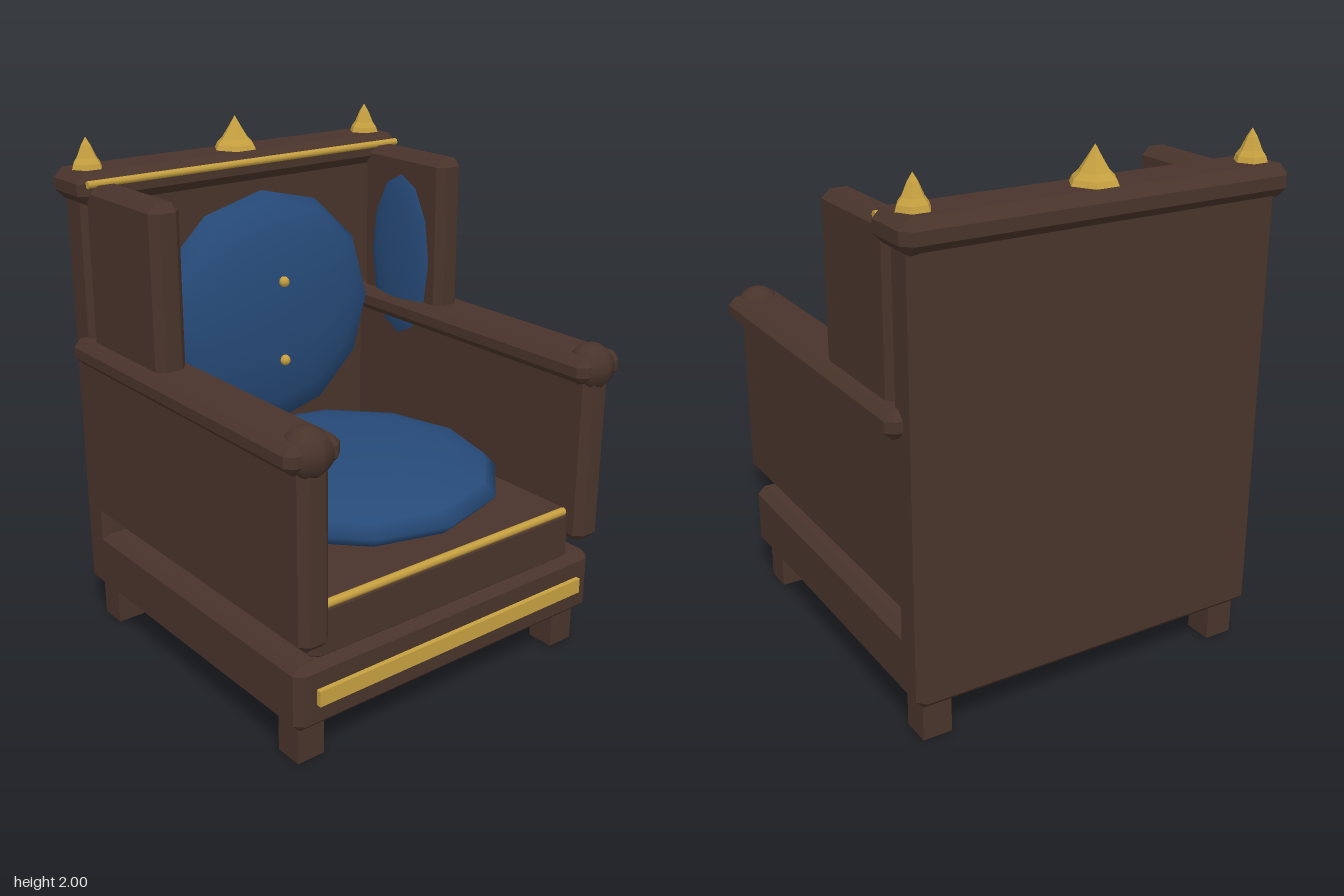
import * as THREE from 'three';
import { ConvexGeometry } from 'three/addons/geometries/ConvexGeometry.js';

export function createModel() {
  const model = new THREE.Group();
  model.name = 'armchair';

  const material = (name, color, flatShading = false) => {
    const m = new THREE.MeshStandardMaterial({ color, flatShading });
    m.name = name;
    return m;
  };
  const wood = material('dark wood', 0x49342b);
  const blue = material('blue fabric', 0x264a78);
  const gold = material('gold', 0xc6a040);

  const add = (name, geometry, mat, x = 0, y = 0, z = 0) => {
    const mesh = new THREE.Mesh(geometry, mat);
    mesh.name = name;
    mesh.position.set(x, y, z);
    model.add(mesh);
    return mesh;
  };

  // Box with every edge cut at 45 degrees, given by its min and max on each axis
  const chamferBox = (name, [x0, x1], [y0, y1], [z0, z1], c = 0.03) => {
    const half = [(x1 - x0) / 2, (y1 - y0) / 2, (z1 - z0) / 2];
    const points = [];
    for (let face = 0; face < 3; face++)
      for (const sx of [-1, 1]) for (const sy of [-1, 1]) for (const sz of [-1, 1]) {
        const p = half.map((h, axis) => (axis === face ? h : h - c));
        points.push(new THREE.Vector3(sx * p[0], sy * p[1], sz * p[2]));
      }
    return add(name, new ConvexGeometry(points), wood, (x0 + x1) / 2, (y0 + y1) / 2, (z0 + z1) / 2);
  };

  // Squashed cushion
  const cushion = (name, [rx, ry, rz], x, y, z, turn = null) => {
    const g = new THREE.SphereGeometry(1, 12, 8);
    if (turn === 'z') g.rotateX(Math.PI / 2);
    if (turn === 'x') g.rotateZ(Math.PI / 2);
    g.scale(rx, ry, rz);
    return add(name, g, blue, x, y, z);
  };

  // Thin rod running from side to side
  const rod = (name, r, length, y, z) =>
    add(name, new THREE.CylinderGeometry(r, r, length, 8).rotateZ(Math.PI / 2), gold, 0, y, z);

  // Six-sided pointed finial: a round bulb drawn up into a spike
  const finial = (name, r, height, x) => {
    const profile = [[0, -0.04], [0.65, -0.03], [1, 0], [0.85, 0.03], [0.62, 0.05], [0.3, 0.095], [0, height]]
      .map(([px, py]) => new THREE.Vector2(px * r, py));
    const g = new THREE.LatheGeometry(profile, 6, Math.PI / 2).toNonIndexed();
    g.computeVertexNormals();
    return add(name, g, gold, x, 1.86, -0.655);
  };

  // Body
  chamferBox('base', [-0.72, 0.72], [0.15, 0.405], [-0.745, 0.7]);
  chamferBox('seat', [-0.63, 0.63], [0.38, 0.605], [-0.62, 0.67]);
  chamferBox('back', [-0.72, 0.72], [0.3, 1.8], [-0.745, -0.59]);
  chamferBox('crest', [-0.755, 0.755], [1.755, 1.87], [-0.775, -0.53], 0.035);

  // Cushions and buttons
  cushion('seatCushion', [0.58, 0.125, 0.6], 0, 0.715, 0.065);
  cushion('backCushion', [0.53, 0.5, 0.15], 0, 1.23, -0.485, 'z');
  for (const y of [1.39, 1.065])
    add('button', new THREE.SphereGeometry(0.022, 8, 6), gold, 0, y, -0.338);

  // Gold trim
  add('basePlate', new THREE.BoxGeometry(1.28, 0.06, 0.03), gold, 0, 0.28, 0.705);
  rod('seatTrim', 0.016, 1.16, 0.6, 0.665);
  rod('crestTrim', 0.014, 1.46, 1.835, -0.53);
  finial('centreFinial', 0.095, 0.14, 0);

  // Parts on both sides
  for (const s of [-1, 1]) {
    const label = s > 0 ? 'left' : 'right';
    const span = (a, b) => (s > 0 ? [a, b] : [-b, -a]);
    chamferBox(label + 'ArmPanel', span(0.595, 0.72), [0.475, 1.16], [-0.65, 0.735]);
    chamferBox(label + 'Armrest', span(0.55, 0.773), [1.13, 1.23], [-0.67, 0.74]);
    chamferBox(label + 'Wing', span(0.598, 0.722), [1.12, 1.83], [-0.583, -0.095]);
    cushion(label + 'WingCushion', [0.04, 0.36, 0.185], s * 0.608, 1.4, -0.335, 'x');
    add(label + 'ArmKnob', new THREE.SphereGeometry(0.09, 8, 8), wood, s * 0.66, 1.178, 0.68);
    finial(label + 'Finial', 0.065, 0.125, s * 0.66);
    for (const [end, z] of [['Front', 0.592], ['Back', -0.639]])
      add(label + end + 'Leg', new THREE.BoxGeometry(0.113, 0.17, 0.113), wood, s * 0.628, 0.085, z);
  }

  return model;
}
